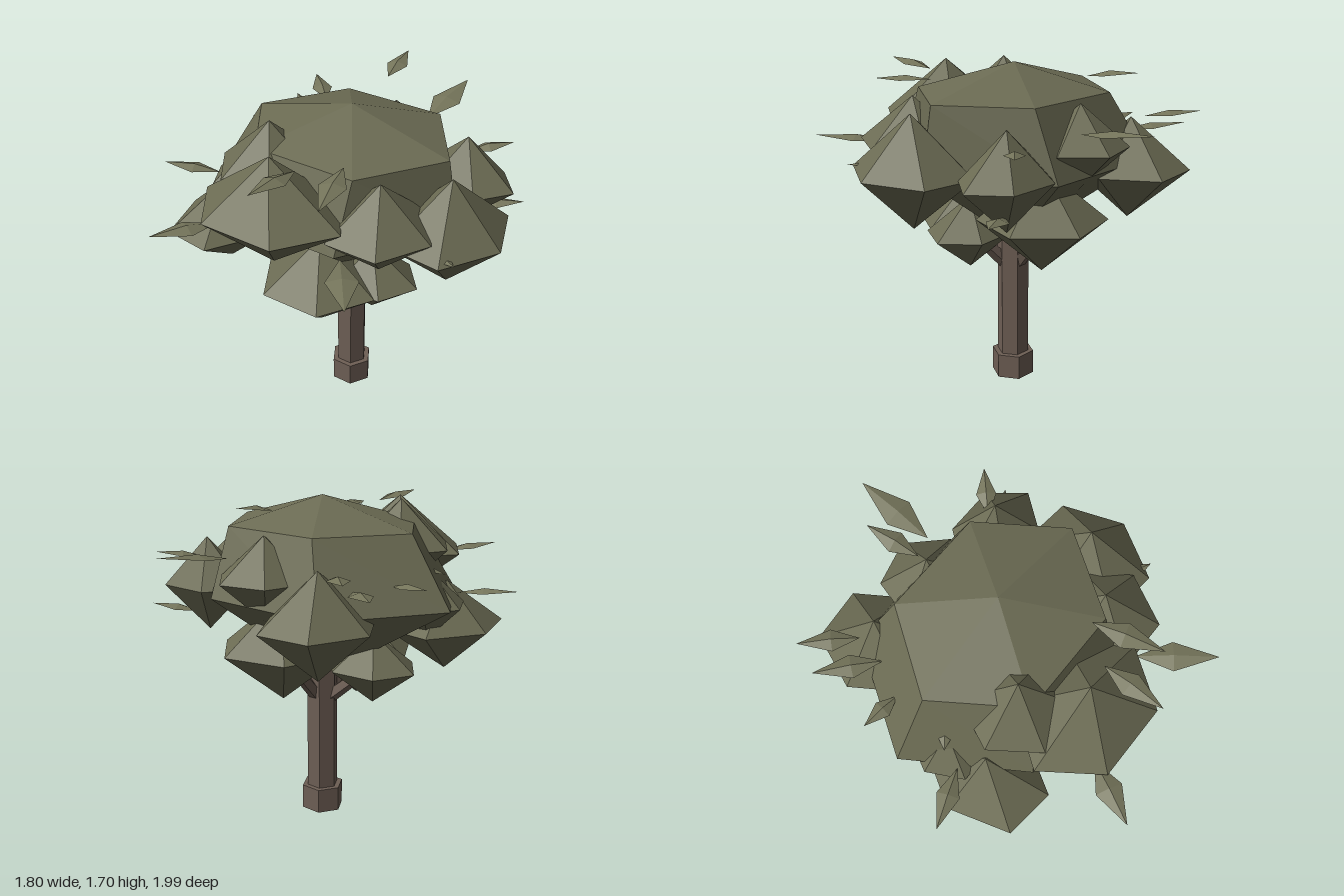
import * as THREE from 'three';

const mat = (color, side = THREE.FrontSide) =>
  new THREE.MeshStandardMaterial({ color, flatShading: true, side });

export function createModel() {
  const tree = new THREE.Group();
  tree.name = 'tree';
  const bark = mat(0x6e5f55);
  const foliage = mat(0x6b6b53);
  const leafMat = mat(0x74745a, THREE.DoubleSide);

  const add = (name, geometry, material, parent = tree) => {
    const mesh = new THREE.Mesh(geometry, material);
    mesh.name = name;
    parent.add(mesh);
    return mesh;
  };

  // Hexagonal trunk with a wider foot, corners pointing along x
  const hexPost = (name, r, y0, y1) => {
    const g = new THREE.CylinderGeometry(r, r, y1 - y0, 6).rotateY(Math.PI / 2);
    add(name, g, bark).position.set(0.02, (y0 + y1) / 2, -0.045);
  };
  hexPost('trunkBase', 0.112, 0, 0.13);
  hexPost('trunk', 0.083, 0.13, 1.0);

  // Branches forking from the trunk into the lower clusters
  const up = new THREE.Vector3(0, 1, 0);
  const branches = new THREE.Group();
  branches.name = 'branches';
  tree.add(branches);
  for (const [x, y, z] of [[-0.25, 0.83, 0.02], [0.24, 0.86, 0.07], [0.05, 0.9, -0.3], [0.01, 0.85, 0.2]]) {
    const a = new THREE.Vector3(0.02, 0.6, -0.045);
    const d = new THREE.Vector3(x, y, z).sub(a);
    const b = add('branch', new THREE.CylinderGeometry(0.03, 0.04, d.length(), 5), bark, branches);
    b.position.copy(a).addScaledVector(d, 0.5);
    b.quaternion.setFromUnitVectors(up, d.normalize());
  }

  // Main crown: six-sided, domed above and conical below; rows are [x, y, z, rx, rz]
  const rows = [
    [0.015, 1.69, -0.045, 0, 0],
    [0.015, 1.55, -0.035, 0.545, 0.46],
    [-0.065, 1.21, -0.035, 0.69, 0.62],
    [0.0, 0.75, -0.04, 0, 0],
  ];
  const crownGeo = new THREE.SphereGeometry(1, 6, 3);
  for (let i = 0; i < crownGeo.attributes.position.count; i++) {
    const [x, y, z, rx, rz] = rows[Math.floor(i / 7)];
    const a = ((i % 7) * Math.PI) / 3;
    crownGeo.attributes.position.setXYZ(i, x - rx * Math.cos(a), y, z + rz * Math.sin(a));
  }
  crownGeo.computeVertexNormals();
  add('crown', crownGeo, foliage);

  // Foliage clusters: squashed six-sided double pyramids [x, y, z, rx, ry, rz, turn]
  const clusters = new THREE.Group();
  clusters.name = 'foliageClusters';
  tree.add(clusters);
  for (const [x, y, z, rx, ry, rz, turn] of [
    [-0.05, 1.36, 0.52, 0.385, 0.28, 0.31, 0],
    [0.62, 1.23, 0.04, 0.28, 0.28, 0.34, -0.1],
    [-0.51, 1.045, 0.3, 0.26, 0.23, 0.34, -0.12],
    [0.02, 0.83, 0.24, 0.32, 0.25, 0.31, 0],
    [0.22, 0.83, 0.07, 0.25, 0.19, 0.21, 0.1],
    [-0.28, 0.84, 0.0, 0.24, 0.185, 0.22, 0.1],
    [0.07, 0.94, -0.29, 0.33, 0.27, 0.33, 0.25],
    [-0.35, 1.165, -0.5, 0.28, 0.26, 0.31, 0.1],
    [0.39, 1.3, 0.29, 0.27, 0.23, 0.29, 0],
    [-0.24, 1.42, 0.27, 0.27, 0.24, 0.27, 0.1],
    [0.46, 1.24, -0.42, 0.27, 0.24, 0.2, 0],
    [0.01, 1.33, -0.47, 0.24, 0.21, 0.24, 0.25],
    [-0.54, 1.19, 0.1, 0.18, 0.17, 0.2, 0],
  ]) {
    const c = add('cluster', new THREE.SphereGeometry(1, 6, 2), foliage, clusters);
    c.geometry.scale(rx, ry, rz);
    c.position.set(x, y, z);
    c.rotation.y = turn;
  }

  // Loose leaves: kites folded along the midrib, from stem point to tip [x, y, z]
  const leaves = new THREE.Group();
  leaves.name = 'leaves';
  tree.add(leaves);
  const leaf = (stem, tip, width) => {
    const a = new THREE.Vector3(...stem);
    const b = new THREE.Vector3(...tip);
    const d = b.clone().sub(a);
    const side = new THREE.Vector3().crossVectors(up, d).setLength(width / 2);
    const mid = a.clone().addScaledVector(d, 0.45);
    const l = mid.clone().add(side);
    const r = mid.clone().sub(side);
    mid.y += 0.02;
    const g = new THREE.BufferGeometry().setFromPoints([a, l, mid, l, b, mid, b, r, mid, r, a, mid]);
    g.computeVertexNormals();
    add('leaf', g, leafMat, leaves);
  };
  leaf([0.14, 1.43, -0.58], [0.15, 1.49, -1.0], 0.16);
  leaf([-0.04, 1.66, -0.46], [-0.08, 1.7, -0.73], 0.11);
  leaf([-0.22, 1.33, 0.7], [-0.37, 1.355, 0.99], 0.13);
  leaf([0.08, 1.6, 0.5], [0.07, 1.63, 0.82], 0.12);
  leaf([0.22, 1.58, 0.33], [0.32, 1.56, 0.67], 0.13);
  leaf([0.34, 1.25, 0.54], [0.58, 1.27, 0.86], 0.15);
  leaf([-0.62, 1.24, 0.22], [-0.9, 1.265, 0.33], 0.11);
  leaf([-0.54, 1.33, -0.2], [-0.75, 1.345, -0.22], 0.09);
  leaf([-0.5, 1.37, 0.06], [-0.61, 1.34, 0.14], 0.08);
  leaf([-0.45, 1.41, -0.5], [-0.66, 1.435, -0.7], 0.11);
  leaf([-0.45, 1.32, -0.37], [-0.71, 1.35, -0.58], 0.12);
  leaf([0.44, 1.38, -0.45], [0.62, 1.41, -0.62], 0.1);
  leaf([0.5, 1.09, -0.45], [0.73, 1.12, -0.57], 0.11);
  leaf([0.6, 1.23, 0.22], [0.79, 1.25, 0.31], 0.1);

  return tree;
}
